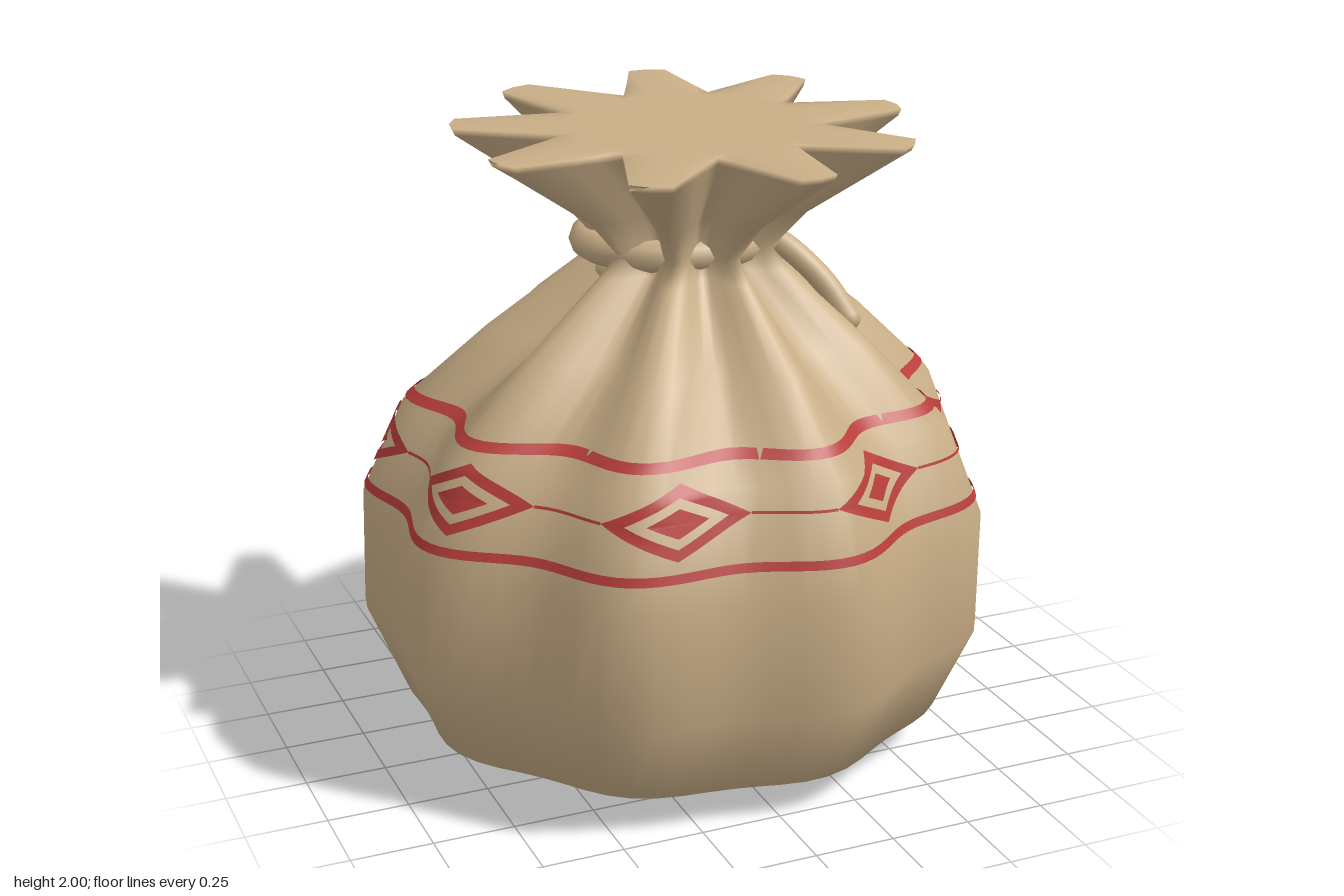
import * as THREE from 'three';

const DEG = Math.PI / 180;
const COLS = 72, FOLDS = 9;

// Sack profile, bottom to top: [height, fold crest radius, fold valley radius]
const PROFILE = [
  [0.03, 0, 0], [0.03, 0.4, 0.4], [0.03, 0.6, 0.57], [0.155, 0.85, 0.81],
  [0.43, 0.965, 0.9], [0.8, 0.96, 0.88], [1.1, 0.835, 0.745], [1.34, 0.585, 0.43],
  [1.55, 0.325, 0.21], [1.61, 0.265, 0.165], [1.73, 0.37, 0.2],
  [1.945, 0.675, 0.385], [1.965, 0.685, 0.385], [1.966, 0.35, 0.35], [1.966, 0, 0],
];
// Pointed fold outline used at the mouth, from crest to valley
const SPIKE = [1, 0.97, 0.5, 0.2, 0];

// Fold strength (1 crest, 0 valley) at an angle and height
function fold(theta, y) {
  const round = 0.5 + 0.5 * Math.cos(theta * FOLDS);
  const step = 360 / FOLDS;
  const d = (((theta / DEG) % step) + step) % step;
  const s = Math.min(d, step - d) / 5;
  const i = Math.min(3, Math.floor(s));
  const sharp = THREE.MathUtils.lerp(SPIKE[i], SPIKE[i + 1], s - i);
  return THREE.MathUtils.lerp(round, sharp, THREE.MathUtils.clamp((y - 1.62) / 0.25, 0, 1));
}

// Point on the slightly lopsided, forward leaning sack
function place(theta, y, crest, valley, lift = 0) {
  const r = valley + (crest - valley) * fold(theta, y) + lift;
  const x = r * Math.cos(theta), z = r * Math.sin(theta) * 0.95;
  return new THREE.Vector3(x < 0 ? x * 1.05 : x, y - 0.05 * z, z + 0.05 * y - 0.03);
}

// Point just above the cloth at a level height, for painted bands
function onCloth(theta, level) {
  let y = level, p;
  for (let n = 0; n < 4; n++) {
    let i = 3;
    while (PROFILE[i + 1][0] < y) i++;
    const [a, b] = [PROFILE[i], PROFILE[i + 1]];
    const t = (y - a[0]) / (b[0] - a[0]);
    p = place(theta, y, a[1] + (b[1] - a[1]) * t, a[2] + (b[2] - a[2]) * t, 0.007);
    y += level - p.y;
  }
  return p;
}

// Smooth surface from rows of points; wrapped rows close on themselves
function skin(rows, wrap) {
  const n = rows[0].length, index = [];
  for (let i = 0; i < rows.length - 1; i++) {
    for (let j = 0; j < (wrap ? n : n - 1); j++) {
      const a = i * n + j, b = i * n + (j + 1) % n;
      index.push(a, a + n, b, b, a + n, b + n);
    }
  }
  const geometry = new THREE.BufferGeometry().setFromPoints(rows.flat());
  geometry.setIndex(index);
  geometry.computeVertexNormals();
  return geometry;
}

export function createModel() {
  const model = new THREE.Group();
  model.name = 'tiedSack';
  const cloth = new THREE.MeshStandardMaterial({ color: 0xc8ad86 });
  cloth.name = 'tanCloth';
  const red = new THREE.MeshStandardMaterial({ color: 0xb83e3c, side: THREE.DoubleSide });
  red.name = 'redPaint';

  function add(name, geometry, material, parent = model) {
    const mesh = new THREE.Mesh(geometry, material);
    mesh.name = name;
    parent.add(mesh);
    return mesh;
  }
  const range = (n, f) => Array.from({ length: n }, (_, i) => f(i));

  // Cloth body, gathered neck and flared mouth
  add('sackBody', skin(PROFILE.map(([y, crest, valley]) =>
    range(COLS, (j) => place(j * 5 * DEG, y, crest, valley))), true), cloth);

  // Painted stripes around the belly
  const paint = new THREE.Group();
  paint.name = 'paintedBand';
  model.add(paint);
  for (const [name, level] of [['lowerStripe', 0.855], ['upperStripe', 1.14]]) {
    add(name, skin([-0.013, 0.013].map((h) =>
      range(COLS * 2, (j) => onCloth(j * 2.5 * DEG, level + h))), true), red, paint);
  }

  // Diamonds with solid centres, joined by thin lines
  const HALF = 14.5, TALL = 0.1;
  const diamond = (centre, scale) => range(32, (k) => {
    const t = k / 8, side = Math.floor(t), f = t - side;
    const u = [1 - f, -f, f - 1, f][side], v = [f, 1 - f, -f, f - 1][side];
    return onCloth((centre - u * HALF * scale) * DEG, 1 + v * TALL * scale);
  });
  for (let k = 0; k < 8; k++) {
    const c = 22 + 45 * k;
    add('diamondOutline', skin([diamond(c, 0.68), diamond(c, 0.84), diamond(c, 1)], true), red, paint);
    add('diamondCentre', skin([diamond(c, 0), diamond(c, 0.2), diamond(c, 0.4)], true), red, paint);
    add('joiningLine', skin([-0.004, 0.004].map((h) =>
      range(9, (j) => onCloth((c + HALF + j * 2) * DEG, 1 + h))), false), red, paint);
  }

  // Two turns of rope around the neck
  for (const [y, rx, rz, tube] of [[1.6, 0.28, 0.245, 0.05], [1.53, 0.25, 0.235, 0.042]]) {
    const ring = new THREE.TorusGeometry(1, tube / 0.26, 10, 40);
    ring.rotateX(Math.PI / 2);
    ring.scale(rx, 0.26, rz);
    ring.translate(0, y, -0.04);
    add('neckRope', ring, cloth);
  }

  // Loose rope end hanging from the knot
  const path = new THREE.CatmullRomCurve3([
    new THREE.Vector3(0.26, 1.6, 0.06), new THREE.Vector3(0.32, 1.55, 0.12),
    new THREE.Vector3(0.395, 1.46, 0.19), new THREE.Vector3(0.445, 1.36, 0.25),
  ]);
  add('ropeTail', new THREE.TubeGeometry(path, 12, 0.038, 10), cloth);
  for (const [t, name] of [[0, 'ropeKnot'], [1, 'ropeTip']]) {
    add(name, new THREE.SphereGeometry(t ? 0.038 : 0.06, 12, 8), cloth).position.copy(path.getPoint(t));
  }
  return model;
}
